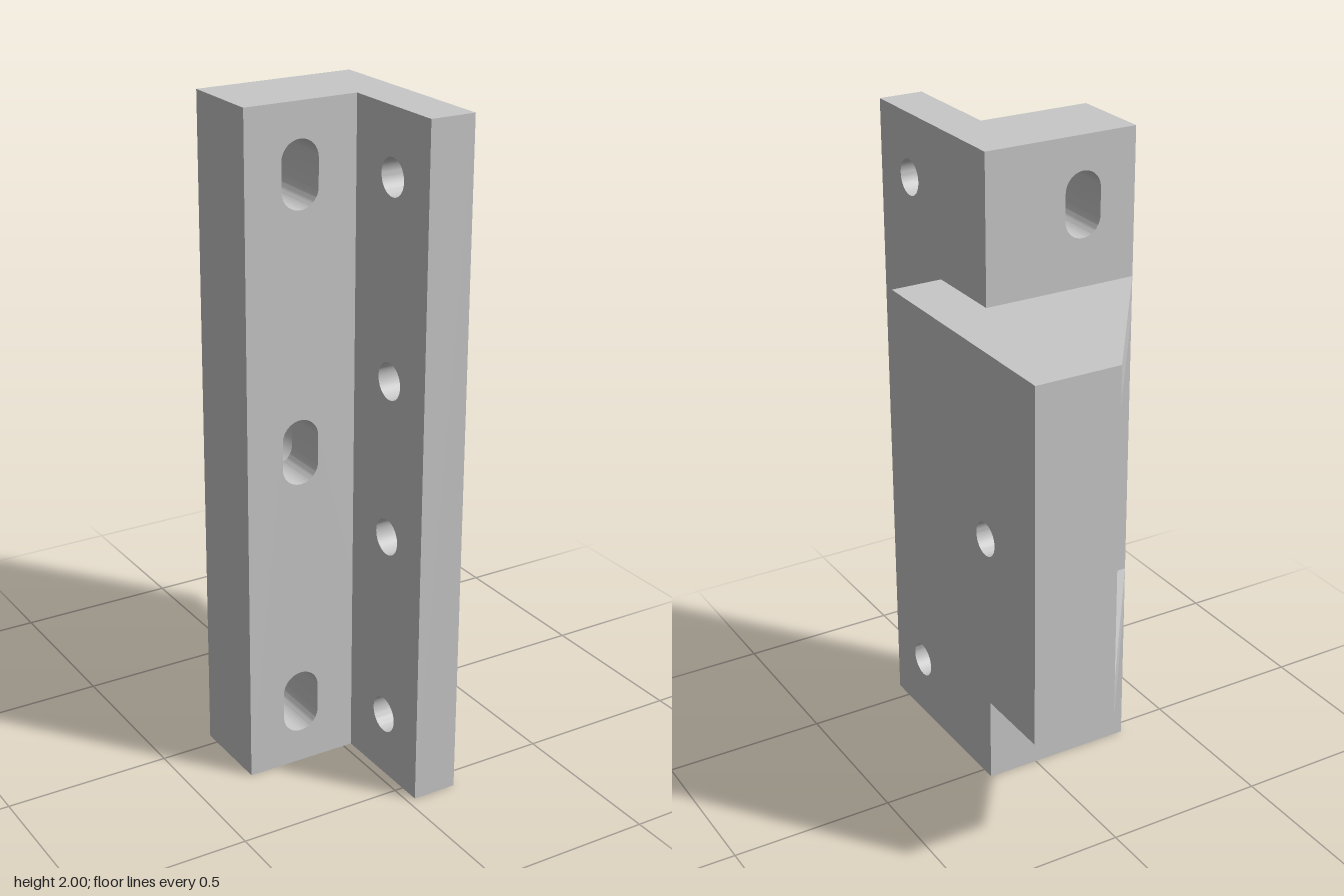
import * as THREE from 'three';
import { toCreasedNormals } from 'three/addons/utils/BufferGeometryUtils.js';

const Y0 = 0.48, Y1 = 1.557; // height range of the side housing
const XL = 0.162;            // outer face of the angle bracket

// Round hole
function circle(u, v, r) {
  return new THREE.Path().absarc(u, v, r, 0, Math.PI * 2, true);
}

// Upright slot with rounded ends
function slot(u, v, w, h) {
  const r = w / 2, s = h / 2 - r;
  const p = new THREE.Path();
  p.absarc(u, v + s, r, 0, Math.PI, false);
  p.absarc(u, v - s, r, Math.PI, Math.PI * 2, false);
  p.closePath();
  return p;
}

// Hexagonal nut pocket with a corner pointing up
function hexagon(u, v, r) {
  const pts = [];
  for (let i = 0; i < 6; i++) {
    const a = Math.PI / 6 + i * Math.PI / 3;
    pts.push(new THREE.Vector2(u + r * Math.cos(a), v + r * Math.sin(a)));
  }
  return new THREE.Path(pts);
}

function polygon(points) {
  return new THREE.Shape(points.map(([u, v]) => new THREE.Vector2(u, v)));
}

function rect(u0, u1, v0, v1) {
  return polygon([[u0, v0], [u1, v0], [u1, v1], [u0, v1]]);
}

function extrude(shape, holes, depth) {
  shape.holes.push(...holes);
  return new THREE.ExtrudeGeometry(shape, { depth, bevelEnabled: false, curveSegments: 20 });
}

export function createModel() {
  const group = new THREE.Group();
  group.name = 'mountingBracket';
  const grey = new THREE.MeshStandardMaterial({ color: 0xc8c8c8 });
  grey.name = 'lightGrey';

  const add = (name, geometry) => {
    const mesh = new THREE.Mesh(toCreasedNormals(geometry, 0.6), grey);
    mesh.name = name;
    group.add(mesh);
  };

  // Plate facing z, from z0 to z1
  const zPlate = (name, shape, holes, z0, z1) =>
    add(name, extrude(shape, holes, z1 - z0).translate(0, 0, z0));
  // Plate facing x, from x0 to x1; the shape is drawn in (-z, y)
  const xPlate = (name, shape, holes, x0, x1) =>
    add(name, extrude(shape, holes, x1 - x0).rotateY(Math.PI / 2).translate(x0, 0, 0));

  // Thick flange in two layers: the rear one holds the middle counterbore
  const slots = (ys) => ys.map((y) => slot(-0.15, y, 0.115, 0.195));
  zPlate('flangeFront', rect(-0.32, XL, 0, 2), slots([0.2, 1, 1.8]), 0.07, 0.215);
  zPlate('flangeBack', rect(-0.32, XL, 0, 2),
    [...slots([0.2, 1.8]), circle(-0.15, 1, 0.09)], -0.043, 0.07);

  // Forward leg with four screw holes
  xPlate('leg', rect(-0.565, -0.215, 0, 2),
    [0.193, 0.768, 1.237, 1.81].map((y) => circle(-0.393, y, 0.054)), 0.026, XL);

  // Side housing wall: round bolt hole outside, nut pocket inside
  xPlate('housingOuterWall', rect(-0.215, 0.565, Y0, Y1), [circle(0.303, 1, 0.05)], XL, 0.32);
  xPlate('housingInnerWall', rect(0.043, 0.565, Y0, Y1), [hexagon(0.303, 1, 0.08)], 0.06, XL);

  // Triangular gussets closing the housing at top and bottom, drawn in (x, -z)
  const t = 0.12;
  for (const [name, y] of [['lowerGusset', Y0], ['upperGusset', Y1 - t]]) {
    const triangle = polygon([[-0.32, 0.043], [0.06, 0.043], [0.06, 0.565]]);
    add(name, extrude(triangle, [], t).rotateX(-Math.PI / 2).translate(0, y, 0));
  }

  return group;
}
